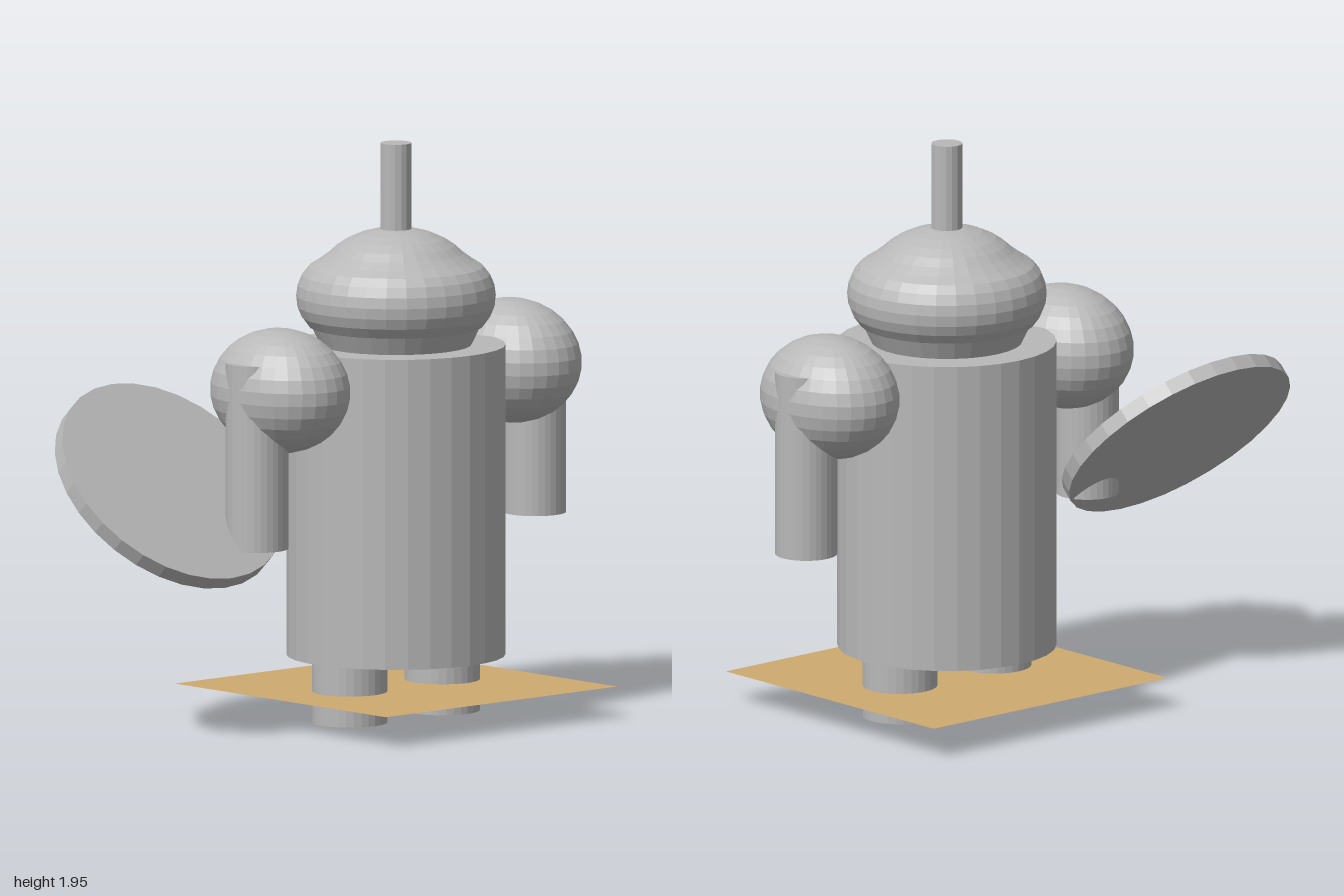
import * as THREE from 'three';

const U = 0.01054;      // model unit
const CX = 0.262;       // the figure stands beside the centre, balanced by the shield
const BASE = 10 * U;    // height of the ground plate

export function createModel() {
  const model = new THREE.Group();
  const grey = new THREE.MeshStandardMaterial({ color: 0xb8b8b8, flatShading: true });
  grey.name = 'grey';
  const tan = new THREE.MeshStandardMaterial({ color: 0xcfaa70, side: THREE.DoubleSide });
  tan.name = 'tan';

  function add(name, geometry, x, y, z, material = grey) {
    const mesh = new THREE.Mesh(geometry, material);
    mesh.name = name;
    mesh.position.set(CX + x * U, BASE + y * U, z * U);
    model.add(mesh);
    return mesh;
  }

  const cylinder = (r, h, sides = 30) => new THREE.CylinderGeometry(r * U, r * U, h * U, sides);

  // thin ground plate, which the feet pass through
  add('groundPlate', new THREE.PlaneGeometry(100 * U, 100 * U), 0, 0, 0, tan).rotation.x = -Math.PI / 2;

  // barrel body
  add('body', cylinder(35, 100), 0, 60, 0);

  // legs, arms and stretched ball shoulders, mirrored
  for (const [side, s] of [['left', 1], ['right', -1]]) {
    add(side + 'Leg', cylinder(12, 20), s * 20, 0, 0);
    add(side + 'Arm', cylinder(10, 60), s * 60, 80, 0);
    add(side + 'Shoulder', new THREE.SphereGeometry(20 * U, 30, 15), s * 50, 100, 0).scale.z = 1.25;
  }

  // head: tapered neck, wide bulge and shallow dome
  const profile = [
    [0, 1.255], [0.25, 1.255], [0.268, 1.292], [0.284, 1.325], [0.294, 1.328],
    [0.318, 1.36], [0.332, 1.395], [0.336, 1.432], [0.331, 1.468], [0.317, 1.502],
    [0.294, 1.53], [0.262, 1.55], [0.228, 1.575], [0.2, 1.6], [0.165, 1.623],
    [0.12, 1.643], [0.07, 1.656], [0.03, 1.66], [0, 1.66],
  ].map(([r, y]) => new THREE.Vector2(r, y - BASE));
  add('head', new THREE.LatheGeometry(profile, 30), 0, 0, 0);

  // antenna
  add('antenna', cylinder(5, 45, 16), 0, 152.5, 0);

  // round shield, tilted beside the right arm
  add('shield', cylinder(40, 5), -80, 70, -20).rotation.x = Math.PI / 4;

  return model;
}
